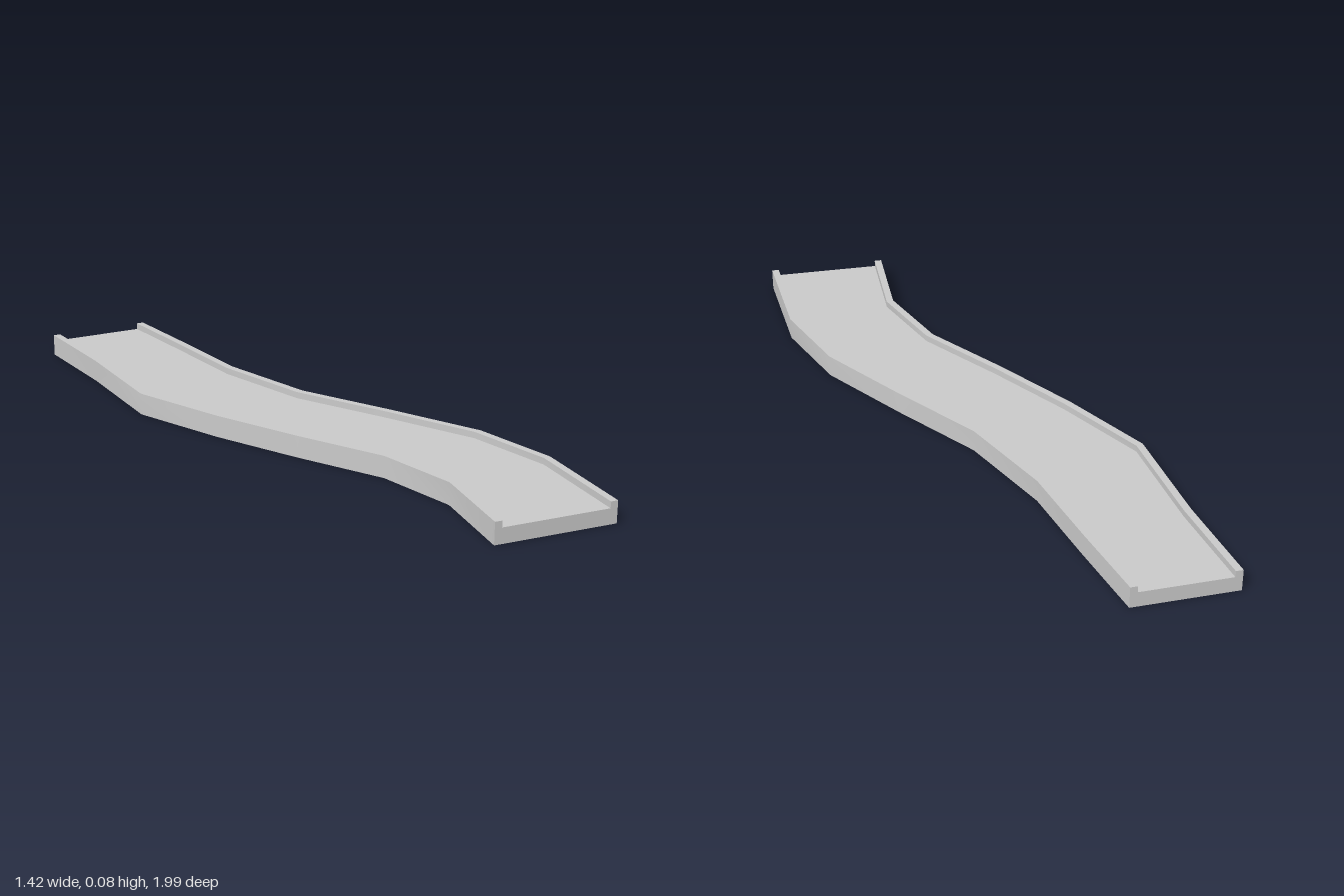
import * as THREE from 'three';

const HEIGHT = 0.075, FLOOR = 0.053, RAIL = 0.024;

// Stations along the winding path: right edge x, z, then left edge x, z
const STATIONS = [
  [-0.71, -0.94, -0.37, -1.0],
  [-0.604, -0.633, -0.262, -0.74],
  [-0.504, -0.274, -0.15, -0.458],
  [-0.298, -0.014, 0.03, -0.168],
  [-0.086, 0.219, 0.263, 0.07],
  [0.136, 0.446, 0.495, 0.32],
  [0.268, 0.69, 0.633, 0.578],
  [0.305, 0.991, 0.707, 0.938],
];

// Channel profile as [edge (0 or 1), inward offset, height], counterclockwise from the front
const PROFILE = [
  [0, 0, 0], [1, 0, 0], [1, 0, HEIGHT], [1, RAIL, HEIGHT],
  [1, RAIL, FLOOR], [0, RAIL, FLOOR], [0, RAIL, HEIGHT], [0, 0, HEIGHT],
];

function section([ax, az, bx, bz]) {
  const a = new THREE.Vector3(ax, 0, az), b = new THREE.Vector3(bx, 0, bz);
  const across = b.clone().sub(a).normalize();
  return PROFILE.map(([edge, inset, y]) => {
    const p = edge ? b.clone().addScaledVector(across, -inset) : a.clone().addScaledVector(across, inset);
    return p.setY(y);
  });
}

function channelGeometry() {
  const rings = STATIONS.map(section);
  const positions = [], index = [];
  const add = (p) => positions.push(p.x, p.y, p.z) / 3 - 1;

  // One strip per profile edge: smooth along the path, sharp across it
  PROFILE.forEach((_, k) => {
    const next = (k + 1) % PROFILE.length;
    const strip = rings.map((ring) => [add(ring[k]), add(ring[next])]);
    for (let i = 0; i < strip.length - 1; i++) {
      const [a, b] = strip[i], [d, c] = strip[i + 1];
      index.push(a, b, c, a, c, d);
    }
  });

  // Flat end caps
  const outline = PROFILE.map(([edge, inset, y]) => new THREE.Vector2(edge ? 0.4 - inset : inset, y));
  const triangles = THREE.ShapeUtils.triangulateShape(outline, []);
  for (const [ring, front] of [[rings[0], false], [rings[rings.length - 1], true]]) {
    const ids = ring.map(add);
    for (const [a, b, c] of triangles) {
      index.push(ids[a], ids[front ? b : c], ids[front ? c : b]);
    }
  }

  const geometry = new THREE.BufferGeometry();
  geometry.setAttribute('position', new THREE.Float32BufferAttribute(positions, 3));
  geometry.setIndex(index);
  geometry.computeVertexNormals();
  return geometry;
}

export function createModel() {
  const group = new THREE.Group();
  group.name = 'windingTrack';
  const channel = new THREE.Mesh(channelGeometry(), new THREE.MeshStandardMaterial({ color: 0xcccccc }));
  channel.name = 'railedChannel';
  group.add(channel);
  return group;
}
